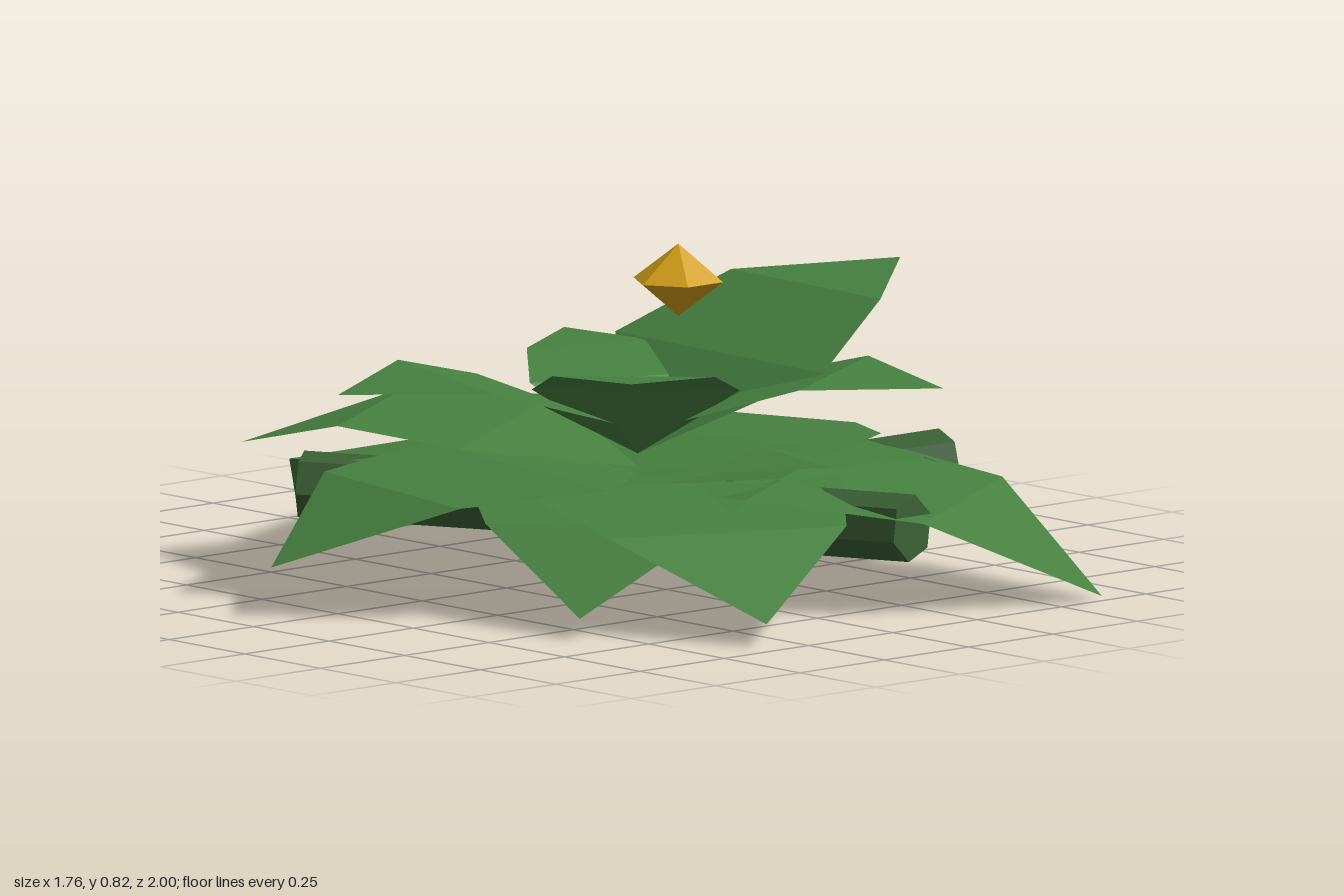
import * as THREE from 'three';

const leafGreen = new THREE.MeshStandardMaterial({ name: 'leafGreen', color: 0x468040, flatShading: true, side: THREE.DoubleSide });
const stemGreen = new THREE.MeshStandardMaterial({ name: 'stemGreen', color: 0x3a6034, flatShading: true });
const gold = new THREE.MeshStandardMaterial({ name: 'gold', color: 0xd4a017, flatShading: true });

const CX = 0.05, CZ = 0.1; // where all leaves meet

// A leaf runs from the centre to its tip: a point, two wide rows, a point.
// heights: base, first row, second row, tip; rows: [share of length, half width]
function leaf(name, tx, tz, heights, rows) {
  const dx = tx - CX, dz = tz - CZ, len = Math.hypot(dx, dz);
  const px = dz / len, pz = -dx / len;
  const pts = [CX, heights[0], CZ];
  rows.forEach(([t, w], i) => {
    for (const s of [1, -1]) {
      pts.push(CX + dx * t + px * w * s, heights[i + 1], CZ + dz * t + pz * w * s);
    }
  });
  pts.push(tx, heights[3], tz);
  const geo = new THREE.BufferGeometry();
  geo.setAttribute('position', new THREE.Float32BufferAttribute(pts, 3));
  geo.setIndex([0, 1, 2, 1, 3, 4, 1, 4, 2, 3, 5, 4]);
  const flat = geo.toNonIndexed();
  flat.computeVertexNormals();
  const mesh = new THREE.Mesh(flat, leafGreen);
  mesh.name = name;
  return mesh;
}

// A six-sided stub lying between two points
function stub(from, to, radius) {
  const a = new THREE.Vector3(...from), b = new THREE.Vector3(...to);
  const mesh = new THREE.Mesh(new THREE.CylinderGeometry(radius, radius, a.distanceTo(b), 6), stemGreen);
  mesh.position.copy(a).add(b).multiplyScalar(0.5);
  mesh.quaternion.setFromUnitVectors(new THREE.Vector3(0, 1, 0), b.sub(a).normalize());
  mesh.name = 'stemStub';
  return mesh;
}

export function createModel() {
  const model = new THREE.Group();
  model.name = 'plant';

  // Drooping outer leaves
  const lower = new THREE.Group();
  lower.name = 'lowerLeaves';
  const droop = [0.2, 0.265, 0.21];
  [
    [0.03, -1.0, 0.0, 0.44, 0.335],
    [0.62, 1.0, 0.01, 0.44, 0.32],
    [-0.33, 0.95, 0.05, 0.37, 0.275],
    [-0.57, 0.6, 0.045, 0.34, 0.25],
    [0.775, -0.18, 0.03, 0.34, 0.26],
  ].forEach(([x, z, y, w1, w2]) =>
    lower.add(leaf('lowerLeaf', x, z, [...droop, y], [[0.35, w1], [0.7, w2]])));

  // Flatter middle leaves
  const middle = new THREE.Group();
  middle.name = 'middleLeaves';
  [
    [-0.885, -0.07, [0.24, 0.28, 0.255, 0.11], 0.38, 0.285],
    [-0.425, -0.68, [0.25, 0.335, 0.355, 0.26], 0.37, 0.27],
    [0.88, 0.29, [0.23, 0.28, 0.265, 0.16], 0.37, 0.28],
    [0.83, -0.05, [0.24, 0.285, 0.28, 0.24], 0.36, 0.27],
  ].forEach(([x, z, h, w1, w2]) =>
    middle.add(leaf('middleLeaf', x, z, h, [[0.33, w1], [0.67, w2]])));

  // Rising inner leaves
  const upper = new THREE.Group();
  upper.name = 'upperLeaves';
  [
    [0.81, 0.12, [0.28, 0.48, 0.605, 0.635], 0.355, 0.255],
    [-0.65, -0.11, [0.28, 0.42, 0.485, 0.465], 0.355, 0.25],
    [0.4, 0.72, [0.28, 0.42, 0.485, 0.465], 0.33, 0.24],
    [-0.31, 0.48, [0.28, 0.45, 0.51, 0.525], 0.23, 0.18],
    [0.23, -0.345, [0.28, 0.425, 0.475, 0.485], 0.2, 0.15],
  ].forEach(([x, z, h, w1, w2]) =>
    upper.add(leaf('upperLeaf', x, z, h, [[0.31, w1], [0.64, w2]])));

  // Stubs under the leaves
  const stubs = new THREE.Group();
  stubs.name = 'stemStubs';
  stubs.add(
    stub([0.28, 0.17, 0.16], [0.79, 0.2, 0.29], 0.075),
    stub([0.09, 0.17, 0.34], [0.2, 0.19, 0.84], 0.075),
    stub([-0.1, 0.17, -0.09], [-0.42, 0.19, -0.49], 0.075),
  );

  // Floating six-sided gem
  const gem = new THREE.Mesh(new THREE.SphereGeometry(0.104, 6, 2), gold);
  gem.scale.y = 0.78;
  gem.position.set(-0.157, 0.74, 0.465);
  gem.name = 'gem';

  model.add(lower, middle, upper, stubs, gem);
  return model;
}
